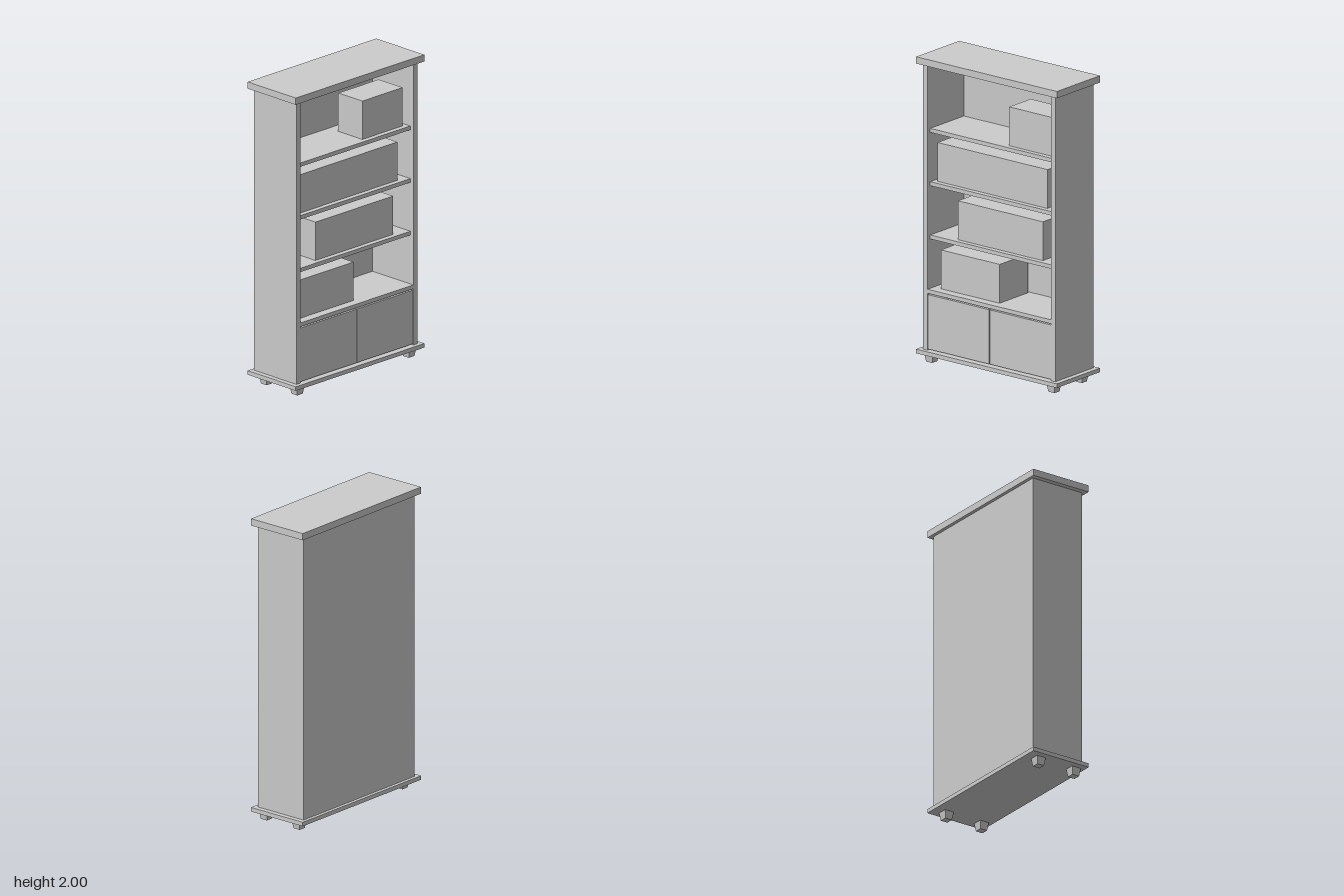
import * as THREE from 'three';

export function createModel() {
  const model = new THREE.Group();
  model.name = 'bookcase';
  const material = new THREE.MeshStandardMaterial({ color: 0xcccccc, flatShading: true });

  // Box given by its limits on each axis
  function addBox(name, [x0, x1], [y0, y1], [z0, z1]) {
    const mesh = new THREE.Mesh(new THREE.BoxGeometry(x1 - x0, y1 - y0, z1 - z0), material);
    mesh.position.set((x0 + x1) / 2, (y0 + y1) / 2, (z0 + z1) / 2);
    mesh.name = name;
    model.add(mesh);
    return mesh;
  }

  const front = 0.185, back = -0.175;

  // Carcass
  addBox('topBoard', [-0.57, 0.57], [1.955, 2], [-0.213, 0.213]);
  addBox('baseBoard', [-0.57, 0.57], [0.053, 0.08], [-0.213, 0.213]);
  addBox('backPanel', [-0.535, 0.535], [0.08, 1.955], [-0.19, back]);
  addBox('leftSide', [0.5, 0.535], [0.08, 1.955], [back, front]);
  addBox('rightSide', [-0.535, -0.5], [0.08, 1.955], [back, front]);

  // Shelves, set back a little from the front edge
  for (const y of [0.83, 1.18, 1.53]) {
    addBox('shelf', [-0.5, 0.5], [y - 0.026, y], [back, 0.158]);
  }

  // Cupboard with two doors
  addBox('cupboardTop', [-0.5, 0.5], [0.454, 0.48], [back, front]);
  addBox('leftDoor', [0.003, 0.497], [0.088, 0.445], [0.163, 0.183]);
  addBox('rightDoor', [-0.497, -0.003], [0.088, 0.445], [0.163, 0.183]);

  // Storage boxes: x limits, shelf height, rear z
  const boxes = [
    [0.11, 0.467, 1.53, -0.09],
    [-0.47, 0.42, 1.18, -0.13],
    [-0.305, 0.383, 0.83, -0.13],
    [-0.443, 0.033, 0.48, -0.157],
  ];
  for (const [x0, x1, y, rear] of boxes) {
    addBox('storageBox', [x0, x1], [y, y + 0.255], [rear, 0.123]);
  }

  // Square feet tapering towards the floor
  const footGeometry = new THREE.CylinderGeometry(0.033 * Math.SQRT2, 0.025 * Math.SQRT2, 0.053, 4);
  footGeometry.rotateY(Math.PI / 4);
  for (const x of [-0.495, 0.495]) {
    for (const z of [-0.12, 0.15]) {
      const foot = new THREE.Mesh(footGeometry, material);
      foot.position.set(x, 0.0265, z);
      foot.name = 'foot';
      model.add(foot);
    }
  }

  return model;
}
